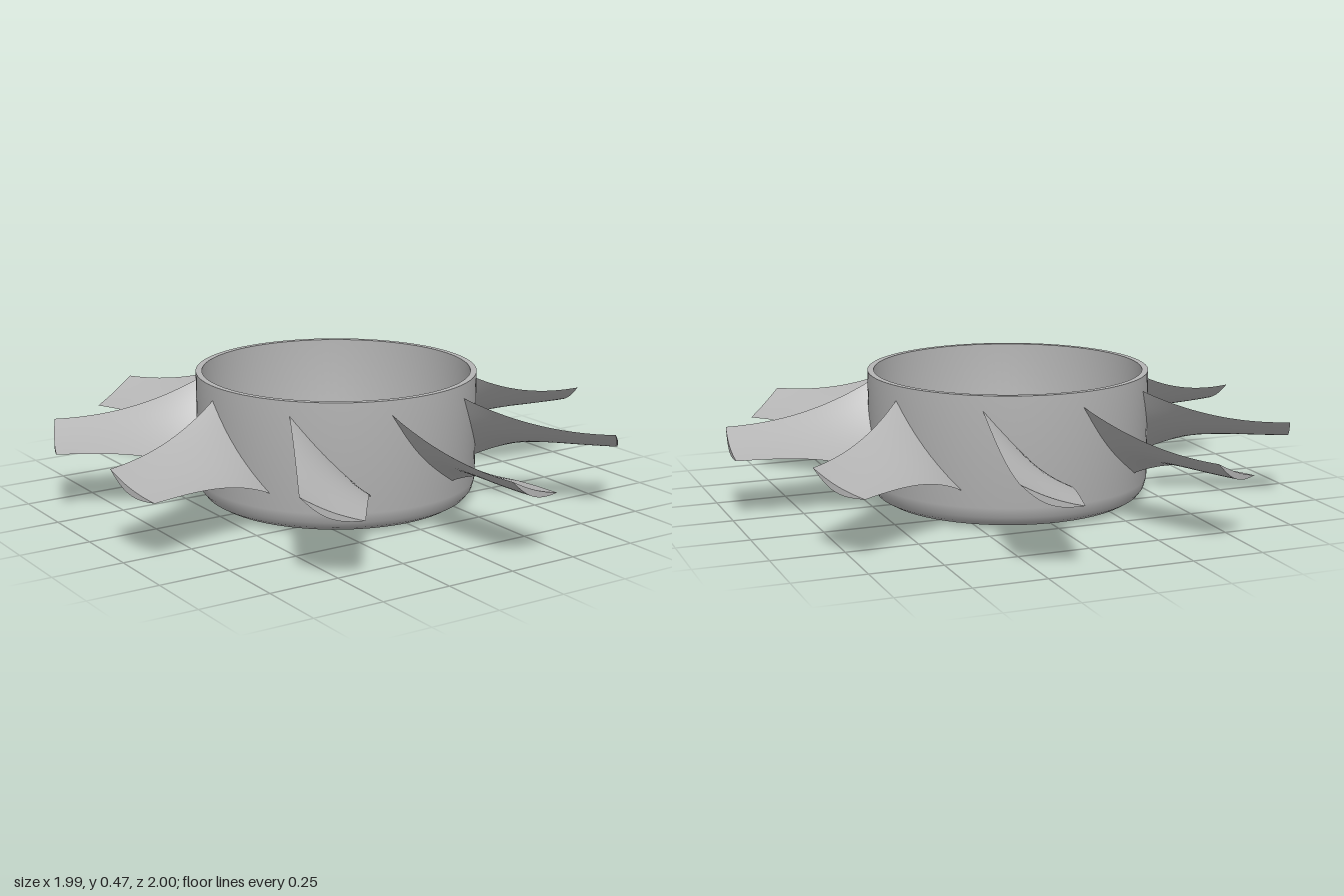
import * as THREE from 'three';
import { toCreasedNormals } from 'three/addons/utils/BufferGeometryUtils.js';

const BLADES = 9;
const HUB_R = 0.5;
const lerp = THREE.MathUtils.lerp;

// Open cup with rounded bottom corner and thin wall
function hubGeometry() {
  const profile = [
    [0, 0], [0.38, 0], [0.42, 0.002], [0.45, 0.009], [0.475, 0.024], [0.491, 0.045], [HUB_R, 0.08],
    [HUB_R, 0.465], [0.478, 0.465],
    [0.474, 0.1], [0.466, 0.068], [0.45, 0.046], [0.425, 0.031], [0.39, 0.025], [0, 0.025],
  ].map(([r, y]) => new THREE.Vector2(r, y));
  return toCreasedNormals(new THREE.LatheGeometry(profile, 96), 0.6);
}

// Twisted blade: steep and wide at the hub, flat and narrow at the tip
function bladeGeometry() {
  const M = 20, N = 12, ring = 2 * N;
  const pos = [], idx = [];

  for (let i = 0; i <= M; i++) {
    const s = i / M;
    const z0 = lerp(-0.09, -0.035, s);
    const z1 = 0.168 + 0.014 * (1 - s) ** 3;
    const y0 = 0.22 - 0.09 * (1 - s) ** 3;
    const y1 = 0.295 + 0.125 * (1 - s) ** 2.2;
    const len = Math.hypot(z1 - z0, y1 - y0);
    const nz = -(y1 - y0) / len, ny = (z1 - z0) / len;
    for (let j = 0; j < ring; j++) {
      const upper = j <= N;
      const u = upper ? j / N : (ring - j) / N;
      // Shallow upper face, fuller lower face, sharp leading and trailing edges
      const bulge = Math.sin(Math.PI * u) * (upper ? -0.008 : -0.03);
      const z = lerp(z0, z1, u) + nz * bulge;
      const y = lerp(y0, y1, u) + ny * bulge;
      const x = lerp(Math.sqrt(0.487 ** 2 - z * z), Math.sqrt(1.003 ** 2 - z * z), s);
      pos.push(x, y, z);
    }
  }
  for (let i = 0; i < M; i++) {
    for (let j = 0; j < ring; j++) {
      const a = i * ring + j, b = i * ring + (j + 1) % ring;
      idx.push(a, b, a + ring, b, b + ring, a + ring);
    }
  }
  // Tip cap
  const t = M * ring;
  for (let j = 0; j < N; j++) {
    const a = t + j, b = t + j + 1;
    const c = t + ring - j - 1, d = t + (ring - j) % ring;
    if (j < N - 1) idx.push(a, b, c);
    if (j > 0) idx.push(a, c, d);
  }
  const g = new THREE.BufferGeometry();
  g.setAttribute('position', new THREE.Float32BufferAttribute(pos, 3));
  g.setIndex(idx);
  return toCreasedNormals(g, 0.7);
}

export function createModel() {
  const model = new THREE.Group();
  model.name = 'fanRotor';
  const grey = new THREE.MeshStandardMaterial({ color: 0xb4b4b4 });
  grey.name = 'grey';

  const hub = new THREE.Mesh(hubGeometry(), grey);
  hub.name = 'hub';
  model.add(hub);

  const blades = new THREE.Group();
  blades.name = 'blades';
  const geometry = bladeGeometry();
  for (let k = 0; k < BLADES; k++) {
    const blade = new THREE.Mesh(geometry, grey);
    blade.name = 'blade' + (k + 1);
    blade.rotation.y = (k / BLADES) * Math.PI * 2;
    blades.add(blade);
  }
  model.add(blades);

  // Odd blade count puts the hub axis slightly off the centre of the bounds
  hub.position.set(-0.01, 0, -0.01);
  blades.position.copy(hub.position);
  return model;
}
